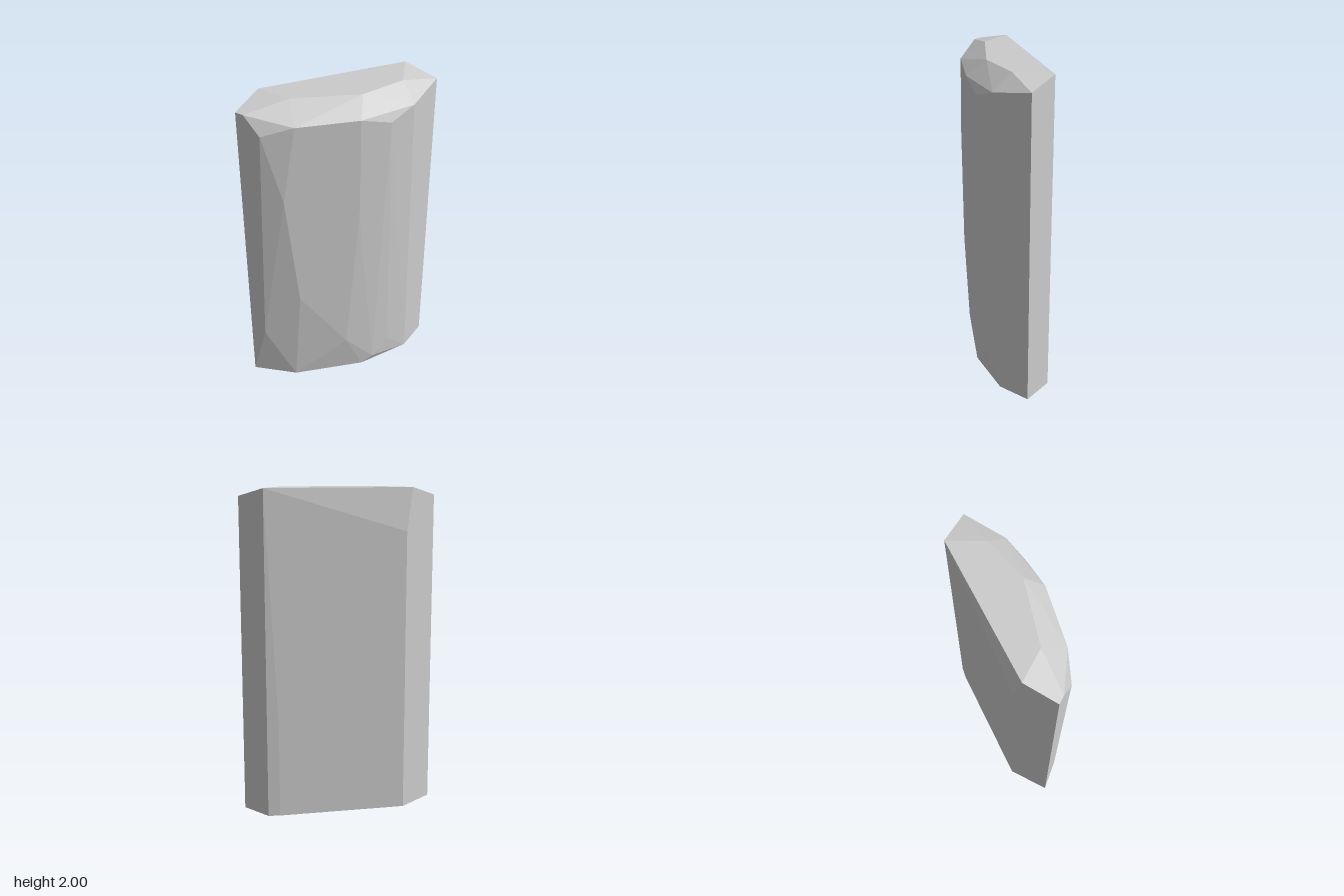
import * as THREE from 'three';
import { ConvexGeometry } from 'three/addons/geometries/ConvexGeometry.js';

// Faceted stone slab: each ring lists its corners as [x, y, z]
const top = [
  [-0.367, 2, 0.26], [-0.155, 2, 0.26], [0.155, 2, 0], [0.26, 2, -0.26], [0.155, 2, -0.472],
];

// Chipped rim just below the top
const rim = [
  [-0.367, 1.95, 0.472], [-0.314, 1.95, 0.472], [-0.21, 1.845, 0.472], [-0.052, 1.9, 0.367],
  [0.21, 1.9, 0.105], [0.314, 1.845, -0.052], [0.367, 1.9, -0.21], [0.367, 1.95, -0.472],
  [-0.367, 1.74, 0.21],
];

// Worn corners down the broad faces
const sides = [
  [-0.105, 1.42, 0.42], [-0.052, 0.68, 0.367], [0.21, 1.25, 0.105], [-0.262, 0.37, 0.472],
  [0.155, 0.265, 0.157], [0.314, 0.16, -0.105], [0.262, 0.052, 0], [0.105, 0.58, -0.42],
];

// Footprint on the ground
const base = [
  [-0.367, 0, 0.472], [-0.105, 0, 0.367], [0.21, 0, 0.052], [0.367, 0, -0.26],
  [0.367, 0, -0.472], [0.155, 0, -0.472], [0.105, 0, -0.42], [-0.367, 0, 0.21],
];

export function createModel() {
  const group = new THREE.Group();
  group.name = 'stoneSlab';

  // The slab is the convex shell around all its corners
  const corners = [...top, ...rim, ...sides, ...base].map((p) => new THREE.Vector3(...p));
  const slab = new THREE.Mesh(
    new ConvexGeometry(corners),
    new THREE.MeshStandardMaterial({ color: 0xcccccc, flatShading: true }),
  );
  slab.name = 'slab';
  group.add(slab);
  return group;
}
